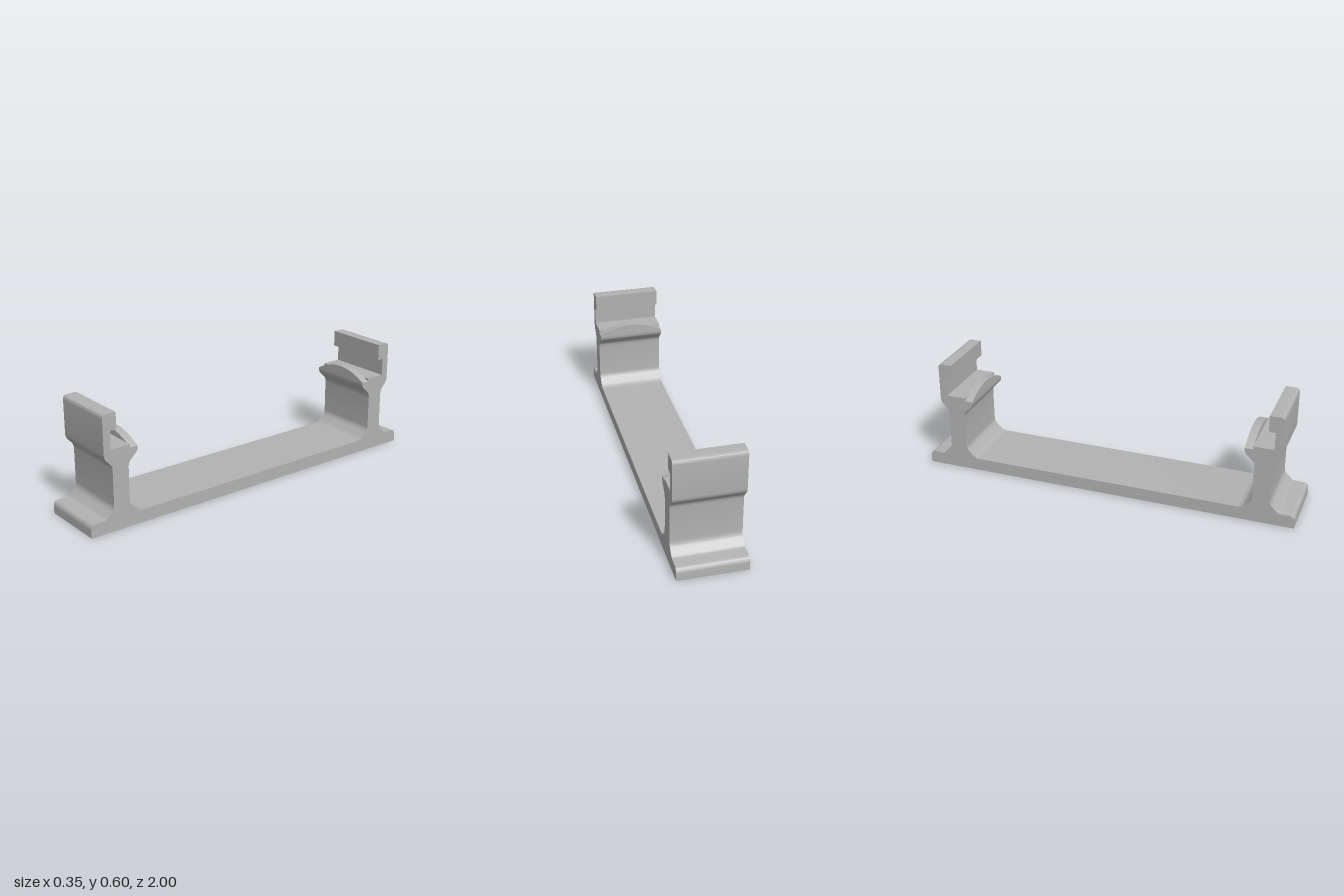
import * as THREE from 'three';
import { toCreasedNormals } from 'three/addons/utils/BufferGeometryUtils.js';

const WIDTH = 0.352;

// Closed outline from [z, y, cornerSize] points, with rounded corners where cornerSize > 0
function roundedOutline(points) {
  const shape = new THREE.Shape();
  const n = points.length;
  points.forEach(([z, y, r = 0], i) => {
    const p = new THREE.Vector2(z, y);
    const toward = (q) => new THREE.Vector2(q[0], q[1]).sub(p).setLength(r).add(p);
    const a = toward(points[(i + n - 1) % n]);
    const b = toward(points[(i + 1) % n]);
    if (i === 0) shape.moveTo(a.x, a.y);
    else shape.lineTo(a.x, a.y);
    if (r > 0) shape.quadraticCurveTo(p.x, p.y, b.x, b.y);
  });
  shape.closePath();
  return shape;
}

export function createModel() {
  const group = new THREE.Group();
  const grey = new THREE.MeshStandardMaterial({ color: 0xb2b2b2 });
  grey.name = 'grey';

  // Half of the section: foot edge, flared pillar, hooked jaw, shelf, pillar inside
  const half = [
    [1, 0], [1, 0.067, 0.03],
    [0.917, 0.067, 0.012], [0.871, 0.113, 0.02],
    [0.871, 0.332, 0.02], [0.915, 0.378, 0.02],
    [0.915, 0.595, 0.02], [0.842, 0.595], [0.842, 0.51], [0.876, 0.51],
    [0.876, 0.418], [0.772, 0.418], [0.772, 0.402], [0.73, 0.402],
    [0.73, 0.378, 0.016], [0.783, 0.328, 0.02],
    [0.783, 0.118, 0.02], [0.73, 0.067, 0.02],
  ];
  const mirrored = half.map(([z, y, r]) => [-z, y, r]).reverse();

  // Bracket body: the full section swept across the width
  const bodyGeo = new THREE.ExtrudeGeometry(roundedOutline([...half, ...mirrored]), {
    depth: WIDTH, bevelEnabled: false, curveSegments: 7,
  });
  bodyGeo.rotateY(-Math.PI / 2).translate(WIDTH / 2, 0, 0);
  const body = new THREE.Mesh(toCreasedNormals(bodyGeo, 0.5), grey);
  body.name = 'bracketBody';
  group.add(body);

  // Arched lips along the inner edge of each shelf
  const w = WIDTH / 2;
  const arch = new THREE.Shape();
  arch.moveTo(-w, 0.402);
  arch.lineTo(w, 0.402);
  arch.quadraticCurveTo(0, 0.504, -w, 0.402);
  for (const side of [1, -1]) {
    const lipGeo = new THREE.ExtrudeGeometry(arch, {
      depth: 0.042, bevelEnabled: false, curveSegments: 20,
    });
    lipGeo.translate(0, 0, side > 0 ? 0.73 : -0.772);
    const lip = new THREE.Mesh(toCreasedNormals(lipGeo, 0.5), grey);
    lip.name = side > 0 ? 'frontLip' : 'backLip';
    group.add(lip);
  }
  return group;
}
